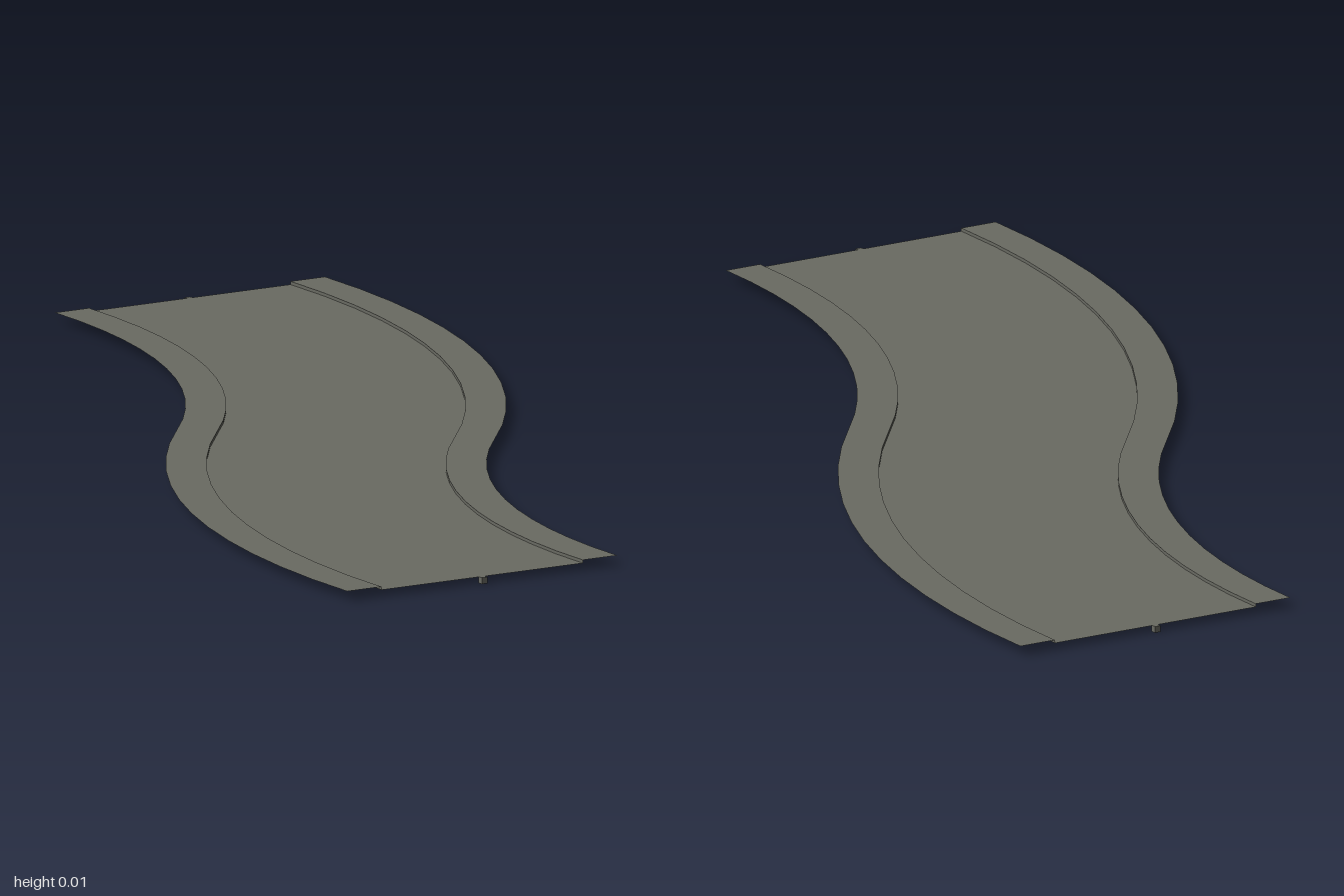
import * as THREE from 'three';

const END_Z = 0.993, END_X = 0.37;
const HALF = 0.247, CURB = 0.184;      // half widths: whole strip, roadway
const ROAD_Y = 0.01, WALK_Y = 0.015;
const STEPS = 12;                      // segments per arc

// Centre line: two equal arcs joined at the origin, sampled as [x, z, angle]
function centreLine() {
  const theta = 2 * Math.atan(END_X / END_Z);
  const R = END_Z / Math.sin(theta);
  const first = [];
  for (let i = 0; i <= STEPS; i++) {
    const a = theta * i / STEPS;
    first.push([-END_X + R - R * Math.cos(a), END_Z - R * Math.sin(a), a]);
  }
  const second = first.slice(0, -1).reverse().map(([x, z, a]) => [-x, -z, a]);
  return [...first, ...second];
}

// Sweep one straight cross-section edge, (u0,y0) to (u1,y1), along the line
function sweep(line, u0, y0, u1, y1) {
  const pos = [], index = [];
  line.forEach(([x, z, a], i) => {
    for (const [u, y] of [[u0, y0], [u1, y1]]) {
      pos.push(x + u * Math.cos(a), y, z + u * Math.sin(a));
    }
    if (i > 0) {
      const k = 2 * (i - 1);
      index.push(k, k + 1, k + 3, k, k + 3, k + 2);
    }
  });
  const g = new THREE.BufferGeometry();
  g.setAttribute('position', new THREE.Float32BufferAttribute(pos, 3));
  g.setIndex(index);
  g.computeVertexNormals();
  return g;
}

export function createModel() {
  const group = new THREE.Group();
  const asphalt = new THREE.MeshStandardMaterial({ color: 0x696a62, side: THREE.DoubleSide });
  asphalt.name = 'asphalt grey';
  const add = (name, geometry) => {
    const mesh = new THREE.Mesh(geometry, asphalt);
    mesh.name = name;
    group.add(mesh);
    return mesh;
  };
  const line = centreLine();

  // Roadway with a low curb and raised pavement on each side
  add('roadway', sweep(line, -CURB, ROAD_Y, CURB, ROAD_Y));
  add('rightPavement', sweep(line, -HALF, WALK_Y, -CURB, WALK_Y));
  add('rightCurb', sweep(line, -CURB, WALK_Y, -CURB, ROAD_Y));
  add('leftCurb', sweep(line, CURB, ROAD_Y, CURB, WALK_Y));
  add('leftPavement', sweep(line, CURB, WALK_Y, HALF, WALK_Y));

  // Tiny joining pegs under the middle of each end
  for (const s of [-1, 1]) {
    add(s > 0 ? 'frontPeg' : 'backPeg', new THREE.BoxGeometry(0.01, 0.01, 0.01))
      .position.set(-s * END_X, 0.005, s * 0.995);
  }
  return group;
}
